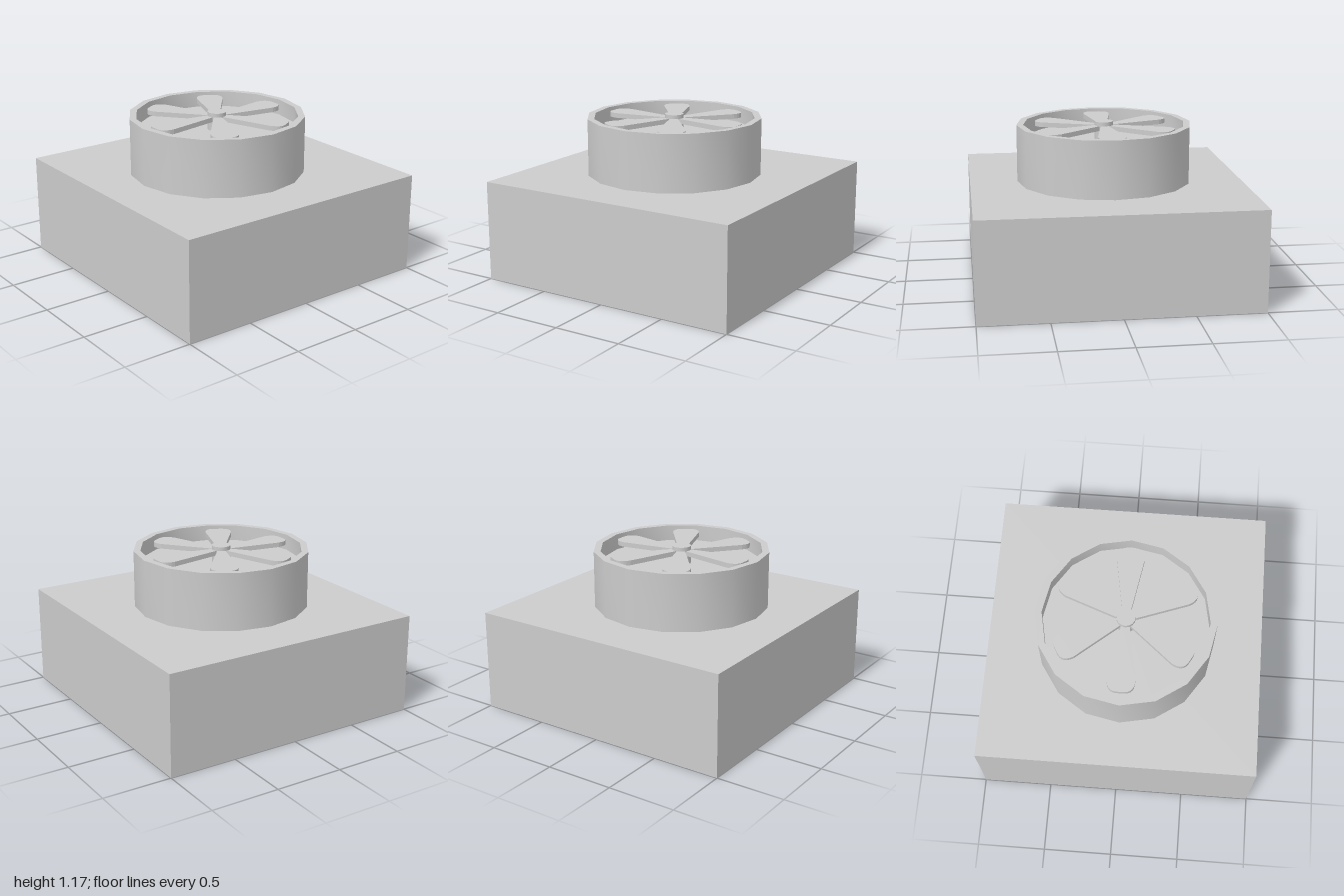
import * as THREE from 'three';
import { toCreasedNormals } from 'three/addons/utils/BufferGeometryUtils.js';

export function createModel() {
  const model = new THREE.Group();
  const material = new THREE.MeshStandardMaterial({ color: 0xcccccc, side: THREE.DoubleSide });
  const add = (parent, name, geometry) => {
    const mesh = new THREE.Mesh(geometry, material);
    mesh.name = name;
    parent.add(mesh);
    return mesh;
  };

  // Housing: a box shell without its bottom face
  const boxHeight = 0.735;
  const box = new THREE.BoxGeometry(2, boxHeight, 2);
  const faces = Array.from(box.index.array);
  faces.splice(18, 6);
  box.setIndex(faces);
  box.clearGroups();
  add(model, 'housing', box).position.y = boxHeight / 2;

  // Fan unit, slightly off the centre of the housing
  const fan = new THREE.Group();
  fan.name = 'fan';
  fan.position.set(-0.033, 0, 0.006);
  model.add(fan);

  // Shroud: outer wall, rim, inner wall and floor, open underneath
  const floorY = 1.04;
  const profile = [[0.645, 0.675], [0.645, 1.157], [0.595, 1.157], [0.595, floorY], [0, floorY]]
    .map(([r, y]) => new THREE.Vector2(r, y));
  add(fan, 'shroud', toCreasedNormals(new THREE.LatheGeometry(profile, 16), Math.PI / 4));

  // Hub
  const hubTop = 1.172;
  add(fan, 'hub', new THREE.CylinderGeometry(0.069, 0.069, hubTop - floorY, 16))
    .position.y = (hubTop + floorY) / 2;

  // Blades: flat paddles widening to a rounded tip
  const outline = new THREE.Shape();
  outline.moveTo(0.04, -0.027);
  outline.lineTo(0.45, -0.099);
  outline.quadraticCurveTo(0.54, -0.1, 0.543, -0.03);
  outline.lineTo(0.543, 0.03);
  outline.quadraticCurveTo(0.54, 0.1, 0.45, 0.099);
  outline.lineTo(0.04, 0.027);
  outline.closePath();
  const blade = new THREE.ExtrudeGeometry(outline, { depth: 0.035, bevelEnabled: false, curveSegments: 6 });
  blade.rotateX(-Math.PI / 2);
  for (let i = 0; i < 6; i++) {
    const mesh = add(fan, 'blade', blade);
    mesh.position.y = 1.108;
    mesh.rotation.y = i * Math.PI / 3;
  }

  return model;
}
